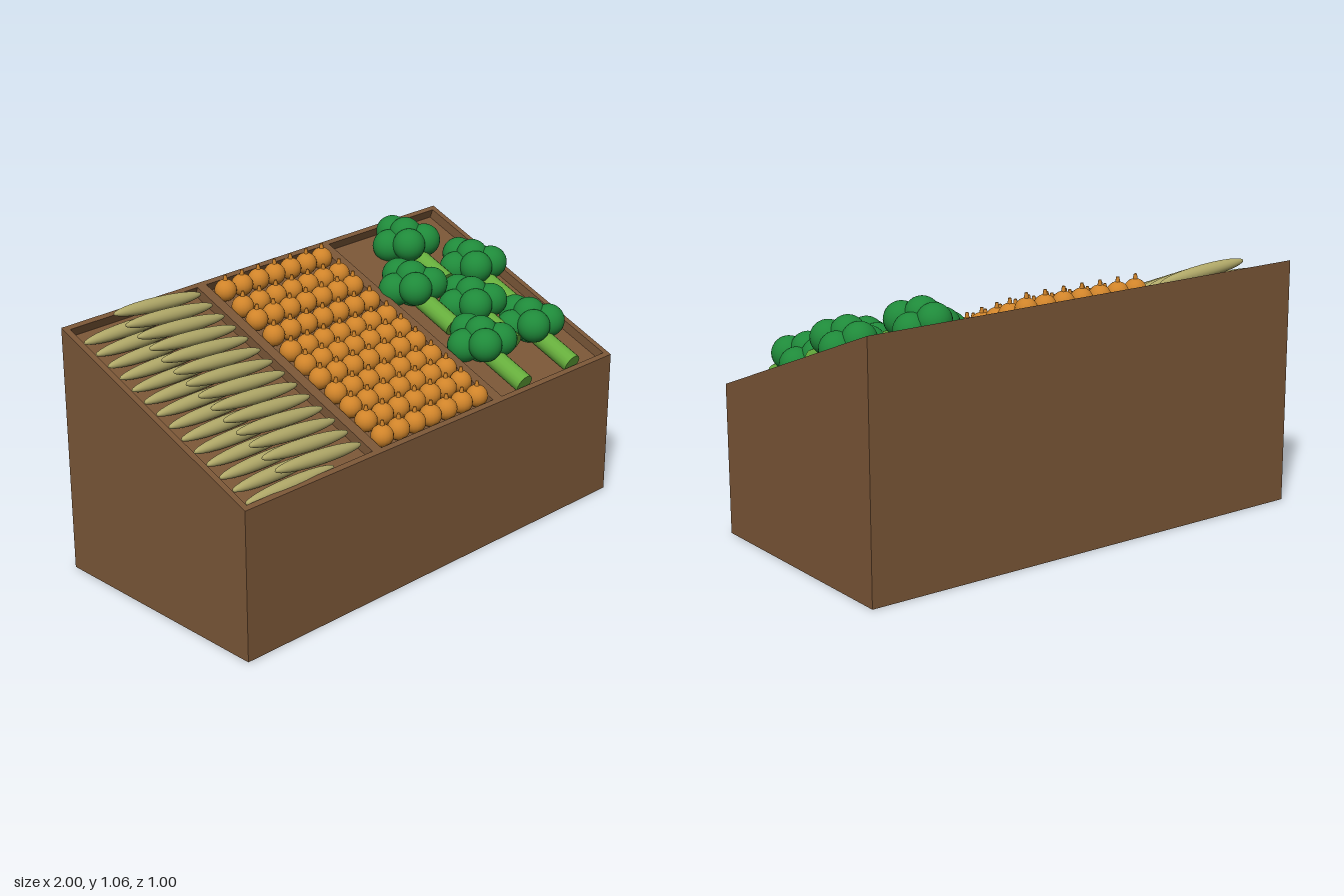
import * as THREE from 'three';

const SLOPE = 0.395, TILT = Math.atan(SLOPE), DEPTH = 0.043;
const surf = z => 0.8025 - SLOPE * z; // height of the sloping top

const mat = color => new THREE.MeshStandardMaterial({ color });
const wood = mat(0x7a5637), floret = mat(0x1f8a3a), stalk = mat(0x66ad3c);
const orange = mat(0xd0842a), root = mat(0xb0a868);

function add(parent, name, geometry, material, x = 0, y = 0, z = 0) {
  const mesh = new THREE.Mesh(geometry, material);
  mesh.name = name;
  mesh.position.set(x, y, z);
  parent.add(mesh);
  return mesh;
}

function group(parent, name) {
  const g = new THREE.Group();
  g.name = name;
  parent.add(g);
  return g;
}

function rectangle(path, x0, x1, y0, y1) {
  path.moveTo(x0, y0);
  path.lineTo(x1, y0);
  path.lineTo(x1, y1);
  path.lineTo(x0, y1);
  path.closePath();
  return path;
}

// Wedge-shaped body under the bins
function baseGeometry() {
  const s = new THREE.Shape();
  s.moveTo(-0.5, 0);
  s.lineTo(0.5, 0);
  s.lineTo(0.5, surf(-0.5) - DEPTH);
  s.lineTo(-0.5, surf(0.5) - DEPTH);
  s.closePath();
  const g = new THREE.ExtrudeGeometry(s, { depth: 2, bevelEnabled: false });
  g.translate(0, 0, -1);
  g.rotateY(Math.PI / 2); // profile x becomes -z
  return g;
}

// Frame with three openings, sheared to follow the slope
function frameGeometry() {
  const s = rectangle(new THREE.Shape(), -1, 1, -0.5, 0.5);
  for (const [a, b] of [[-0.975, -0.355], [-0.31, 0.305], [0.355, 0.975]])
    s.holes.push(rectangle(new THREE.Path(), a, b, -0.48, 0.48));
  const g = new THREE.ExtrudeGeometry(s, { depth: 1, bevelEnabled: false });
  g.rotateX(-Math.PI / 2);
  const p = g.attributes.position;
  for (let i = 0; i < p.count; i++) {
    let z = p.getZ(i);
    const bottom = p.getY(i) < 0.5;
    // inner walls run square to the slope, outer walls stay vertical
    if (bottom && Math.abs(z) < 0.49) z -= 0.015;
    p.setXYZ(i, p.getX(i), surf(z) - (bottom ? DEPTH : 0), z);
  }
  g.computeVertexNormals();
  return g;
}

export function createModel() {
  const model = new THREE.Group();
  model.name = 'vegetableStand';

  const crate = group(model, 'crate');
  add(crate, 'crateBase', baseGeometry(), wood);
  add(crate, 'crateFrame', frameGeometry(), wood);

  // Long roots: a lower layer, and an upper one leaning on it
  const roots = group(model, 'longRoots');
  const rootGeo = new THREE.SphereGeometry(1, 24, 12);
  rootGeo.rotateZ(Math.PI / 2);
  rootGeo.scale(0.215, 0.028, 0.028);
  for (let i = 0; i < 14; i++) {
    const z = -0.44 + i * 0.0675;
    add(roots, 'lowerRoot', rootGeo, root, -0.745, surf(z + 0.02) - 0.018, z + 0.02);
    add(roots, 'upperRoot', rootGeo, root, -0.587, surf(z) + 0.022, z).rotation.z = -0.08;
  }

  // Round fruit in a grid, each with a small stem
  const fruits = group(model, 'roundFruit');
  const fruitGeo = new THREE.SphereGeometry(0.044, 18, 12);
  const stemGeo = new THREE.CylinderGeometry(0.006, 0.01, 0.025, 8);
  const rows = [-0.425, -0.325, -0.245, -0.15, -0.055, 0.025, 0.105, 0.19, 0.27, 0.35, 0.435];
  for (const z of rows)
    for (let c = -3; c <= 3; c++) {
      add(fruits, 'fruit', fruitGeo, orange, c * 0.0865, surf(z), z);
      add(fruits, 'fruitStem', stemGeo, orange, c * 0.0865, surf(z) + 0.05, z);
    }

  // Broccoli heads lying with their stalks down the slope
  const ballGeo = new THREE.SphereGeometry(0.067, 24, 16);
  const stalkGeo = new THREE.CylinderGeometry(0.04, 0.04, 0.26, 16);
  // x, lift above the slope, z of each floret
  const balls = [
    [0, 0.058, 0], [0.045, 0.06, 0.065], [-0.045, 0.06, 0.065],
    [0.068, 0.002, -0.028], [-0.068, 0.002, -0.028], [0, 0.018, -0.075], [0, 0, 0],
  ];
  const heads = [[0.665, -0.345], [0.48, -0.128], [0.84, -0.128], [0.65, 0.045], [0.5, 0.235], [0.79, 0.235]];
  for (const [x, z] of heads) {
    const b = group(model, 'broccoli');
    b.position.set(x, surf(z), z);
    for (const [bx, lift, bz] of balls)
      add(b, 'floret', ballGeo, floret, bx, lift - SLOPE * bz, bz);
    add(b, 'stalk', stalkGeo, stalk, 0, -SLOPE * 0.115, 0.115).rotation.x = TILT - Math.PI / 2;
  }
  return model;
}
